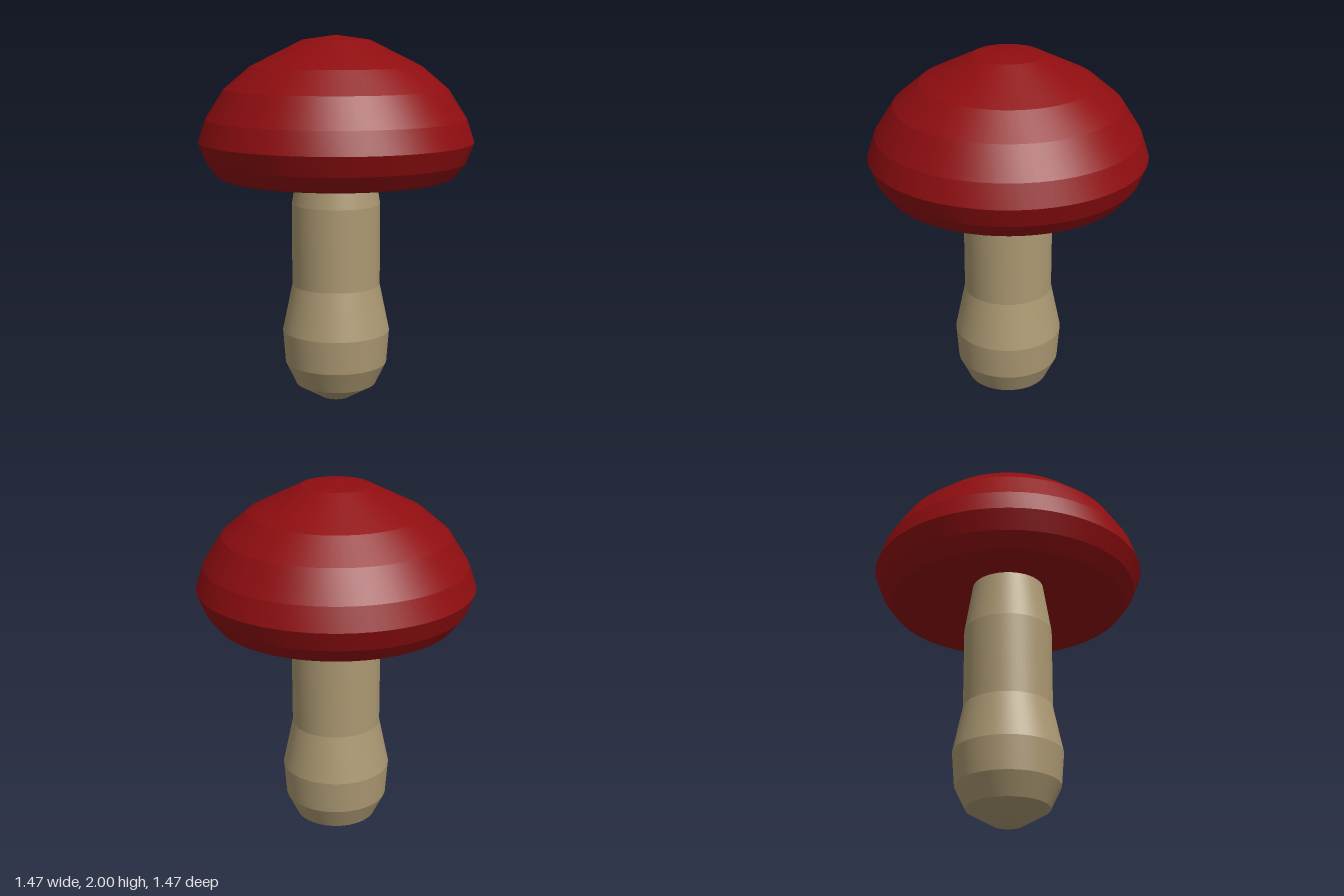
import * as THREE from 'three';
import { toCreasedNormals } from 'three/addons/utils/BufferGeometryUtils.js';

const capRed = new THREE.MeshStandardMaterial({ color: 0x8f0d10 });
capRed.name = 'cap red';
const stemTan = new THREE.MeshStandardMaterial({ color: 0xab9872 });
stemTan.name = 'stem tan';

// Turned part: smooth around the axis, crisp edges between profile bands
function turned(name, profile, material) {
  const points = profile.map(([r, y]) => new THREE.Vector2(r, y));
  const geometry = toCreasedNormals(new THREE.LatheGeometry(points, 64), 0.16);
  const mesh = new THREE.Mesh(geometry, material);
  mesh.name = name;
  return mesh;
}

export function createModel() {
  const group = new THREE.Group();
  group.name = 'mushroom';

  // Stem with bulbous foot, running up into the hollow of the cap
  group.add(turned('stem', [
    [0, 0], [0.08, 0.018], [0.22, 0.1], [0.278, 0.22], [0.292, 0.4],
    [0.239, 0.655], [0.239, 1.1], [0.195, 1.37], [0.19, 1.4], [0, 1.4],
  ], stemTan));

  // Cap: hollow underside, rolled rim, faceted dome
  group.add(turned('cap', [
    [0, 1.434], [0.575, 1.247], [0.6, 1.245], [0.638, 1.258], [0.697, 1.335],
    [0.737, 1.44], [0.697, 1.56], [0.597, 1.717], [0.457, 1.836],
    [0.18, 1.975], [0, 2],
  ], capRed));

  return group;
}
